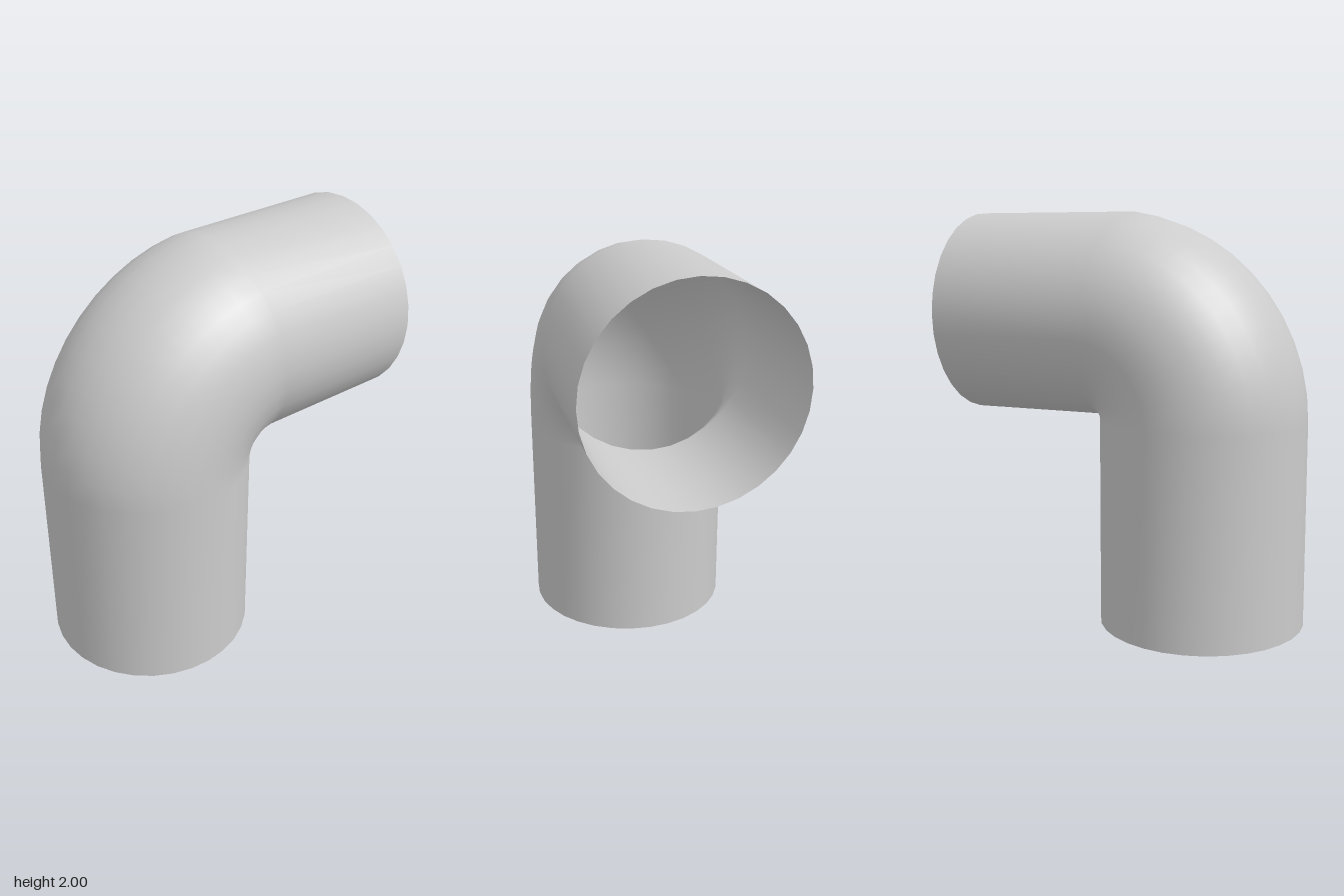
import * as THREE from 'three';

const RADIUS = 0.5;      // pipe radius, also the bend radius of its centre line
const HALF_DEPTH = 0.853;
const PIVOT_Z = HALF_DEPTH - 2 * RADIUS; // inner corner of the elbow
const PIVOT_Y = 1;
const SIDES = 32;
const BEND_STEPS = 12;

// One ring of the pipe: angle turns about the elbow corner, (dy, dz) slides it along a leg
function ring(angle, dy = 0, dz = 0) {
  const points = [];
  for (let i = 0; i < SIDES; i++) {
    const a = (i / SIDES) * Math.PI * 2;
    const reach = RADIUS + RADIUS * Math.sin(a);
    points.push(
      RADIUS * Math.cos(a),
      PIVOT_Y + reach * Math.sin(angle) + dy,
      PIVOT_Z + reach * Math.cos(angle) + dz
    );
  }
  return points;
}

// Joins consecutive rings into an open smooth tube
function skin(rings) {
  const index = [];
  for (let r = 0; r < rings.length - 1; r++) {
    for (let i = 0; i < SIDES; i++) {
      const j = (i + 1) % SIDES;
      const a = r * SIDES + i, b = r * SIDES + j;
      const c = a + SIDES, d = b + SIDES;
      index.push(a, c, b, b, c, d);
    }
  }
  const geometry = new THREE.BufferGeometry();
  geometry.setAttribute('position', new THREE.Float32BufferAttribute(rings.flat(), 3));
  geometry.setIndex(index);
  geometry.computeVertexNormals();
  return geometry;
}

export function createModel() {
  const group = new THREE.Group();
  group.name = 'elbowPipe';

  // Upright leg, bend, then the horizontal leg running to the back
  const rings = [ring(0, -PIVOT_Y)];
  for (let s = 0; s < BEND_STEPS; s++) rings.push(ring((s / BEND_STEPS) * Math.PI / 2));
  rings.push(ring(Math.PI / 2, 0, -HALF_DEPTH - PIVOT_Z));

  const pipe = new THREE.Mesh(
    skin(rings),
    new THREE.MeshStandardMaterial({ color: 0xcccccc, side: THREE.DoubleSide })
  );
  pipe.name = 'pipe';
  group.add(pipe);
  return group;
}
